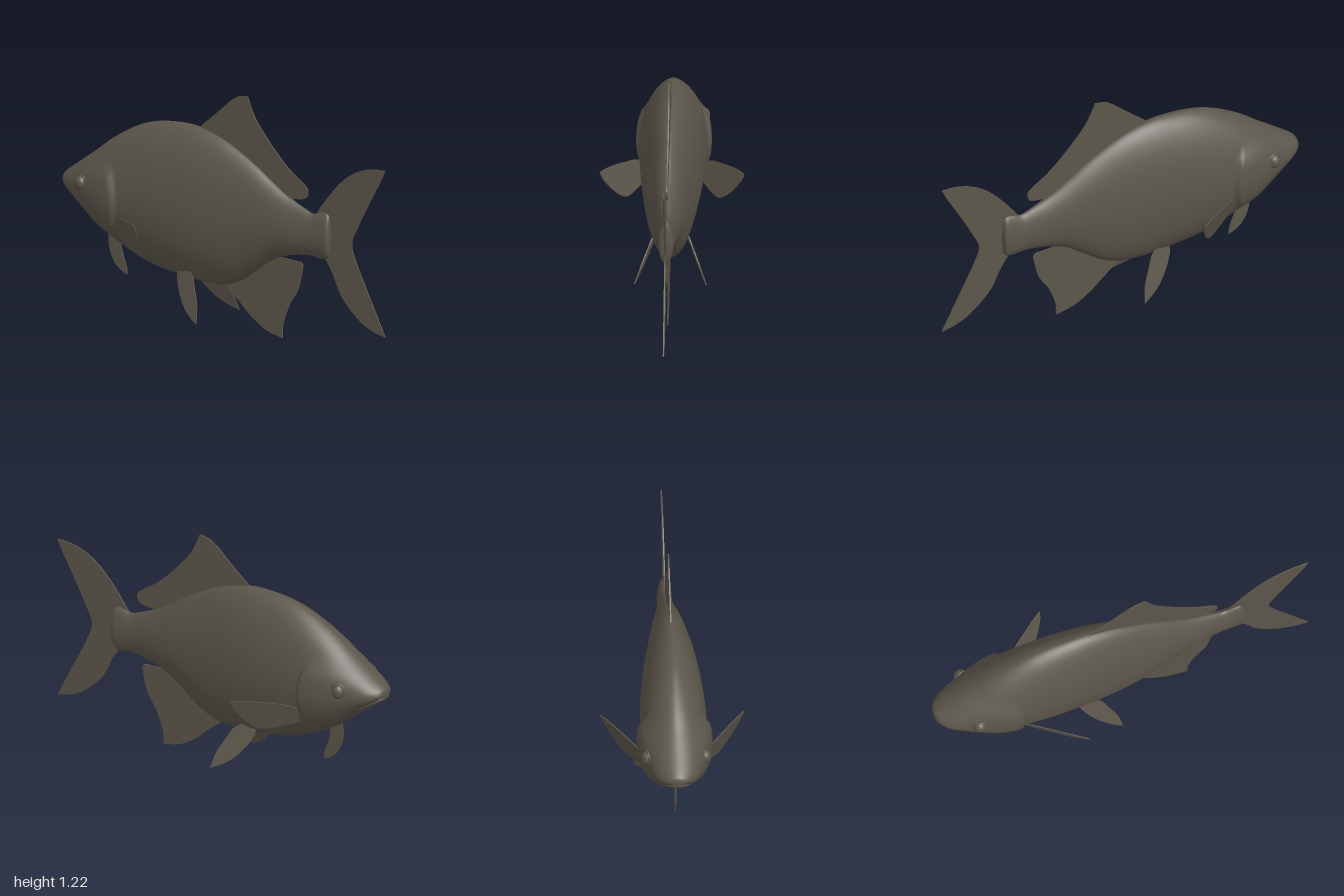
import * as THREE from 'three';

const skin = new THREE.MeshStandardMaterial({ color: 0x5c564b });
skin.name = 'olive grey skin';

const V3 = (a, b, c) => new THREE.Vector3(a, b, c);
const smooth = THREE.MathUtils.smoothstep;

// Body stations: x, back height, belly height, half width
const stations = [
  [-1, .635, .635, 0], [-.997, .655, .612, .03], [-.985, .672, .598, .058], [-.95, .698, .572, .09],
  [-.9, .733, .537, .117], [-.8, .805, .46, .147], [-.7, .88, .385, .163], [-.6, .94, .33, .169],
  [-.5, .985, .285, .168], [-.4, 1.01, .256, .166], [-.3, 1.02, .24, .16], [-.2, 1.02, .226, .151],
  [-.1, 1.003, .22, .14], [0, .97, .226, .126], [.1, .922, .262, .111], [.2, .865, .33, .096],
  [.3, .798, .4, .08], [.4, .737, .438, .063], [.5, .692, .455, .046], [.55, .676, .456, .04],
  [.6, .688, .45, .038], [.64, .688, .458, .037], [.656, .655, .49, .028], [.662, .575, .575, 0],
];

function bodyGeometry() {
  const profile = new THREE.CatmullRomCurve3(stations.map(s => V3(s[0], s[1], s[2])), false, 'catmullrom', .5);
  const widths = new THREE.CatmullRomCurve3(stations.map(s => V3(s[3], 0, 0)), false, 'catmullrom', .5);
  const rings = (stations.length - 1) * 10, sides = 72;
  const pos = [], index = [];
  for (let i = 0; i <= rings; i++) {
    const { x, y: top, z: bottom } = profile.getPoint(i / rings);
    const w = Math.max(0, widths.getPoint(i / rings).x);
    const mid = bottom + (top - bottom) * .45;
    for (let j = 0; j < sides; j++) {
      const t = j / sides * Math.PI * 2, s = Math.sin(t), c = Math.cos(t);
      const y = mid + (s > 0 ? top - mid : mid - bottom) * s;
      let z = w * Math.pow(Math.abs(c), s > 0 ? 1.15 : 1);
      // raised gill cover with a stepped rear edge
      const edge = -.572 - 1.6 * (y - .59) ** 2;
      z += .021 * smooth(x, -.92, -.62) * (1 - smooth(x, edge - .012, edge + .006))
        * smooth(y, .39, .47) * (1 - smooth(y, .7, .8));
      // downturned mouth groove
      const mouth = .63 - .62 * (x + 1);
      z -= Math.min(z, .014) * Math.exp(-(((y - mouth) / .007) ** 2)) * (1 - smooth(x, -.9, -.87));
      pos.push(x, y, Math.sign(c) * z);
    }
  }
  for (let i = 0; i < rings; i++) for (let j = 0; j < sides; j++) {
    const a = i * sides + j, b = i * sides + (j + 1) % sides;
    index.push(a, a + sides, b + sides, a, b + sides, b);
  }
  const g = new THREE.BufferGeometry();
  g.setAttribute('position', new THREE.Float32BufferAttribute(pos, 3));
  g.setIndex(index);
  g.computeVertexNormals();
  return g;
}

// Thin fin: smooth edges joined at sharp corners, set in a slanted plane
function finGeometry(edges, side = 1, slant = () => 0) {
  const shape = new THREE.Shape();
  shape.moveTo(...edges[0][0]);
  edges.forEach((edge, i) => {
    const pts = edge.slice(i === 0 ? 1 : 0).map(p => new THREE.Vector2(...p));
    shape.splineThru(pts);
  });
  const depth = .007;
  const g = new THREE.ExtrudeGeometry(shape, { depth, bevelEnabled: false, curveSegments: 8 });
  const p = g.attributes.position;
  for (let i = 0; i < p.count; i++) {
    p.setZ(i, p.getZ(i) - depth / 2 + side * slant(p.getX(i), p.getY(i)));
  }
  g.computeVertexNormals();
  return g;
}

const middleFins = {
  dorsalFin: [
    [[-.17, 1.01], [-.05, 1.11], [.03, 1.18], [.08, 1.21], [.135, 1.22]],
    [[.16, 1.16], [.2, 1.09], [.3, .975], [.4, .88], [.5, .81], [.517, .78]],
    [[.505, .75], [.47, .738], [.41, .733]],
    [[.36, .7]], [[0, .9]],
  ],
  tailFin: [
    [[.57, .68], [.61, .735], [.68, .82], [.76, .895], [.84, .94], [.92, .962], [1, .965]],
    [[.965, .895], [.905, .79], [.83, .65], [.79, .555], [.82, .46], [.89, .32], [1, .105]],
    [[.92, .125], [.835, .17], [.73, .27], [.67, .385], [.62, .46]],
    [[.55, .5]],
  ],
  analFin: [
    [[-.02, .235], [.08, .155], [.16, .085], [.25, .03], [.355, .002]],
    [[.36, .08], [.4, .18], [.455, .27], [.485, .395]],
    [[.47, .412], [.42, .415], [.34, .42]],
    [[.2, .45]], [[.05, .35]],
  ],
  throatFin: [
    [[-.725, .42], [-.737, .36], [-.73, .3], [-.7, .235], [-.66, .2], [-.62, .18]],
    [[-.625, .22], [-.65, .29], [-.66, .34], [-.66, .4]],
  ],
};

const pectoral = [
  [[-.61, .45], [-.55, .515], [-.45, .54], [-.36, .552], [-.3, .55]],
  [[-.305, .505], [-.335, .44], [-.37, .395], [-.405, .377], [-.47, .388], [-.54, .41], [-.6, .42]],
];
const pelvic = [
  [[-.25, .27], [-.2, .29], [-.14, .262], [-.105, .2], [-.07, .13], [-.052, .048]],
  [[-.1, .07], [-.16, .11], [-.215, .175], [-.25, .24]],
];

export function createModel() {
  const fish = new THREE.Group();
  fish.name = 'fish';
  const add = (name, geometry) => {
    const m = new THREE.Mesh(geometry, skin);
    m.name = name;
    fish.add(m);
    return m;
  };

  add('body', bodyGeometry());
  for (const [name, edges] of Object.entries(middleFins)) add(name, finGeometry(edges));

  // Paired fins and eyes
  for (const [side, label] of [[1, 'near'], [-1, 'far']]) {
    add(label + 'PectoralFin', finGeometry(pectoral, side,
      (x, y) => .165 + .7 * (x + .57) + .35 * (y - .53)));
    add(label + 'PelvicFin', finGeometry(pelvic, side,
      (x, y) => .18 + .23 * (x + .05) - .31 * (y - .05)));
    const eye = add(label + 'Eye', new THREE.SphereGeometry(1, 32, 20));
    eye.scale.set(.033, .039, .033);
    eye.position.set(-.803, .655, side * .142);
    const rim = add(label + 'EyeRim', new THREE.TorusGeometry(.034, .006, 10, 32));
    rim.scale.y = 1.15;
    rim.rotation.y = side * -.25;
    rim.position.set(-.803, .655, side * .144);
  }
  return fish;
}
